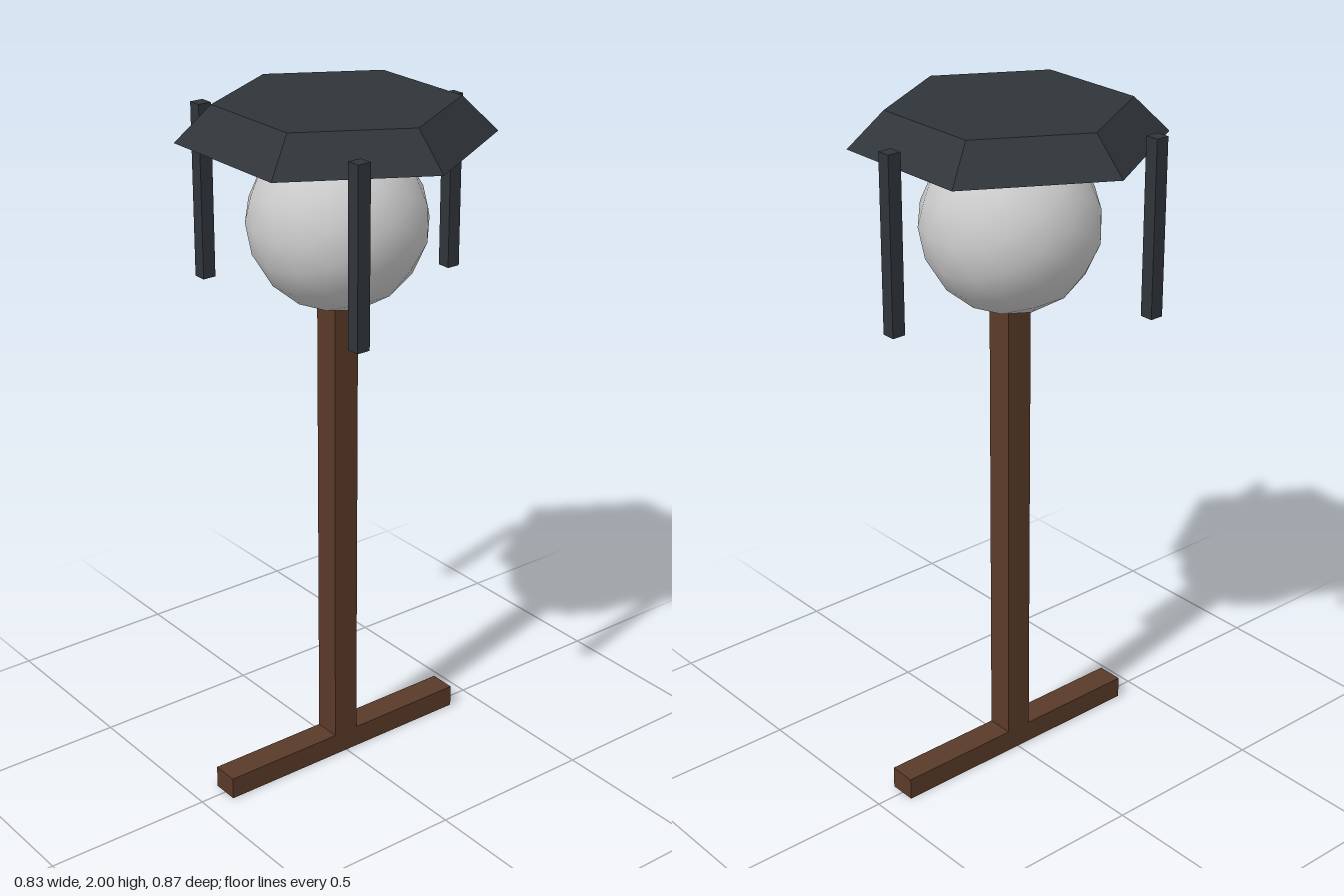
import * as THREE from 'three';

export function createModel() {
  const group = new THREE.Group();
  const wood = new THREE.MeshStandardMaterial({ color: 0x5a3a29 });
  const iron = new THREE.MeshStandardMaterial({ color: 0x30353a, flatShading: true });
  const glass = new THREE.MeshStandardMaterial({ color: 0xcccccc });
  const axisX = -0.003; // the one-sided bar shifts the lamp's axis slightly

  const add = (name, geometry, material, x, y, z) => {
    const mesh = new THREE.Mesh(geometry, material);
    mesh.name = name;
    mesh.position.set(x, y, z);
    group.add(mesh);
    return mesh;
  };

  // Wooden foot and post
  add('foot', new THREE.BoxGeometry(0.83, 0.066, 0.08), wood, axisX, 0.033, 0);
  add('post', new THREE.BoxGeometry(0.08, 1.45, 0.08), wood, axisX, 0.725, 0);

  // Faceted globe with smooth shading
  add('globe', new THREE.IcosahedronGeometry(0.25, 2), glass, axisX, 1.67, 0);

  // Six-sided tapered roof
  add('roof', new THREE.CylinderGeometry(0.333, 0.433, 0.1, 6), iron, axisX, 1.95, 0);

  // Three upright bars around the globe
  const barGeometry = new THREE.BoxGeometry(0.04, 0.5, 0.04);
  for (let i = 0; i < 3; i++) {
    const a = (i * Math.PI * 2) / 3;
    add('bar', barGeometry, iron, axisX + 0.4 * Math.cos(a), 1.703, 0.347 / Math.sin(Math.PI / 3) * Math.sin(a));
  }

  return group;
}
